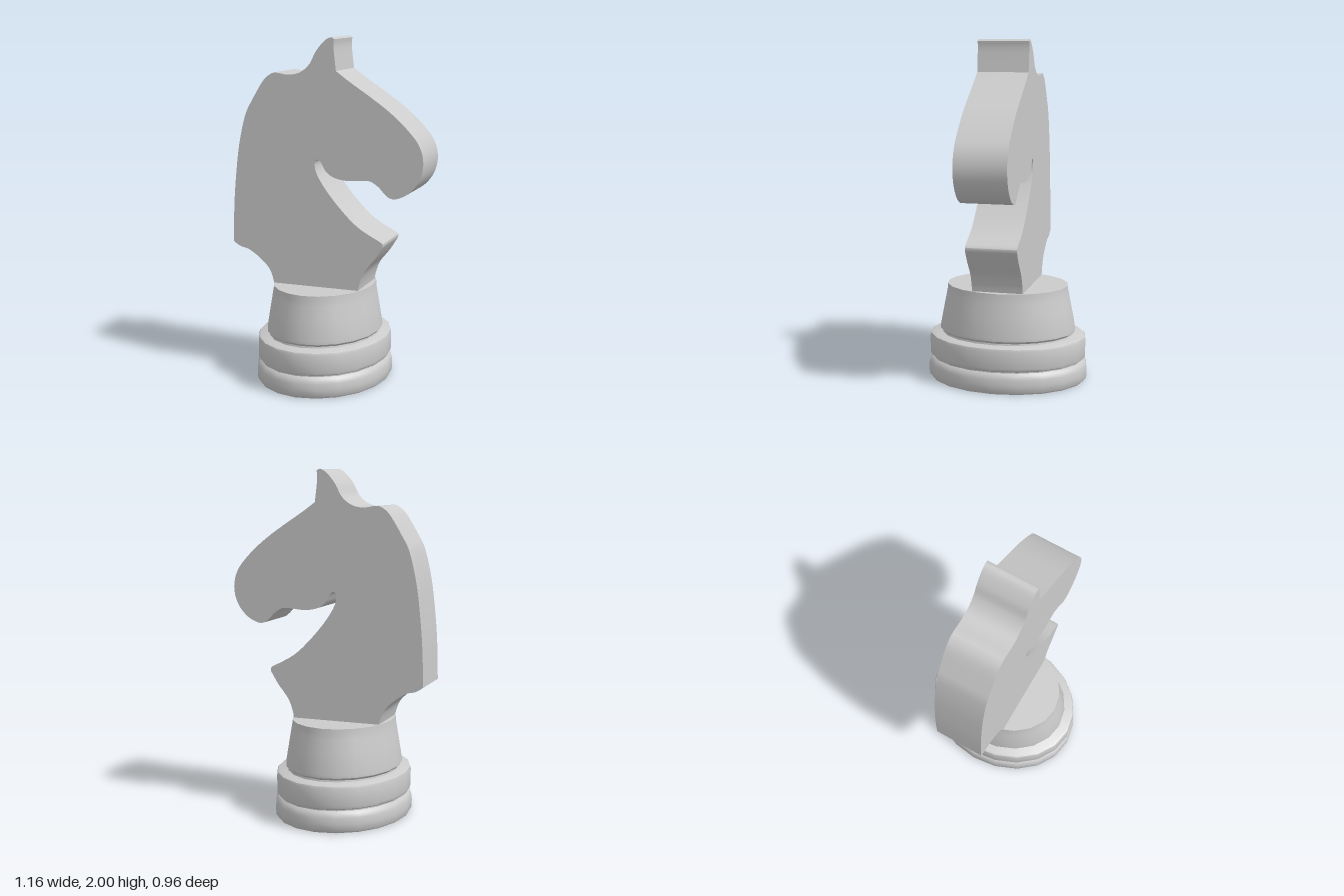
import * as THREE from 'three';
import { toCreasedNormals } from 'three/addons/utils/BufferGeometryUtils.js';

const material = new THREE.MeshStandardMaterial({ color: 0xcccccc });
const BASE_X = -0.057;   // the foot sits slightly behind the middle
const SQUASH = 0.818;    // the foot is oval, narrower along x

// Oval turned part from [radius, height] pairs, bottom to top
function turned(name, profile) {
  const points = profile.map(([r, y]) => new THREE.Vector2(r, y));
  const lathe = new THREE.LatheGeometry(points, 20);
  lathe.scale(SQUASH, 1, 1);
  const mesh = new THREE.Mesh(toCreasedNormals(lathe, 0.7), material);
  mesh.name = name;
  mesh.position.x = BASE_X;
  return mesh;
}

// Horse outline: smooth runs that meet at sharp corners, each starting where the last ended
const START = [-0.32, 0.56];
const RUNS = [
  // back of the chest
  [[-0.35, 0.645], [-0.415, 0.71], [-0.485, 0.755], [-0.537, 0.768], [-0.58, 0.795]],
  // mane, crown and back of the ear
  [[-0.575, 0.98], [-0.563, 1.15], [-0.537, 1.365], [-0.495, 1.545], [-0.447, 1.64],
    [-0.378, 1.75], [-0.33, 1.79], [-0.295, 1.797], [-0.22, 1.787], [-0.15, 1.803],
    [-0.093, 1.85], [-0.055, 1.92], [-0.003, 1.98], [0.035, 2], [0.055, 1.99]],
  // front of the ear
  [[0.052, 1.94], [0.066, 1.815]],
  // forehead, muzzle, jaw and throat
  [[0.15, 1.755], [0.272, 1.675], [0.384, 1.595], [0.484, 1.505], [0.553, 1.418],
    [0.578, 1.323], [0.558, 1.228], [0.5, 1.153], [0.431, 1.116], [0.389, 1.116],
    [0.357, 1.138], [0.315, 1.18], [0.267, 1.206], [0.209, 1.206], [0.135, 1.2],
    [0.06, 1.212], [0.008, 1.243], [-0.024, 1.296], [-0.048, 1.312], [-0.063, 1.286],
    [-0.05, 1.228], [0.003, 1.143], [0.087, 1.042], [0.198, 0.937], [0.336, 0.86]],
  // tip of the breast
  [[0.347, 0.848], [0.345, 0.83]],
  // front of the chest
  [[0.3, 0.758], [0.238, 0.677], [0.212, 0.614], [0.2, 0.56]],
];

function horseHead() {
  const shape = new THREE.Shape();
  shape.moveTo(...START);
  for (const run of RUNS) shape.splineThru(run.map(([x, y]) => new THREE.Vector2(x, y)));
  shape.closePath();
  const slab = new THREE.ExtrudeGeometry(shape, { depth: 0.3, bevelEnabled: false, curveSegments: 4 });
  slab.translate(0, 0, -0.15);
  const mesh = new THREE.Mesh(toCreasedNormals(slab, 0.5), material);
  mesh.name = 'horseHead';
  return mesh;
}

export function createModel() {
  const group = new THREE.Group();
  group.name = 'chessKnight';
  group.add(
    // rounded foot and the ring above it
    turned('foot', [[0, 0], [0.468, 0], [0.478, 0.012], [0.481, 0.05], [0.479, 0.085],
      [0.47, 0.11], [0.454, 0.122], [0.454, 0.135], [0, 0.135]]),
    turned('ring', [[0, 0.128], [0.454, 0.128], [0.466, 0.135], [0.471, 0.15], [0.471, 0.25],
      [0.466, 0.263], [0.452, 0.27], [0, 0.272]]),
    // tapered collar with a narrow groove at its bottom
    turned('collar', [[0, 0.268], [0.395, 0.268], [0.392, 0.28], [0.408, 0.294], [0.408, 0.31],
      [0.385, 0.43], [0.37, 0.505], [0.364, 0.535], [0.362, 0.565], [0, 0.565]]),
    horseHead(),
  );
  return group;
}
